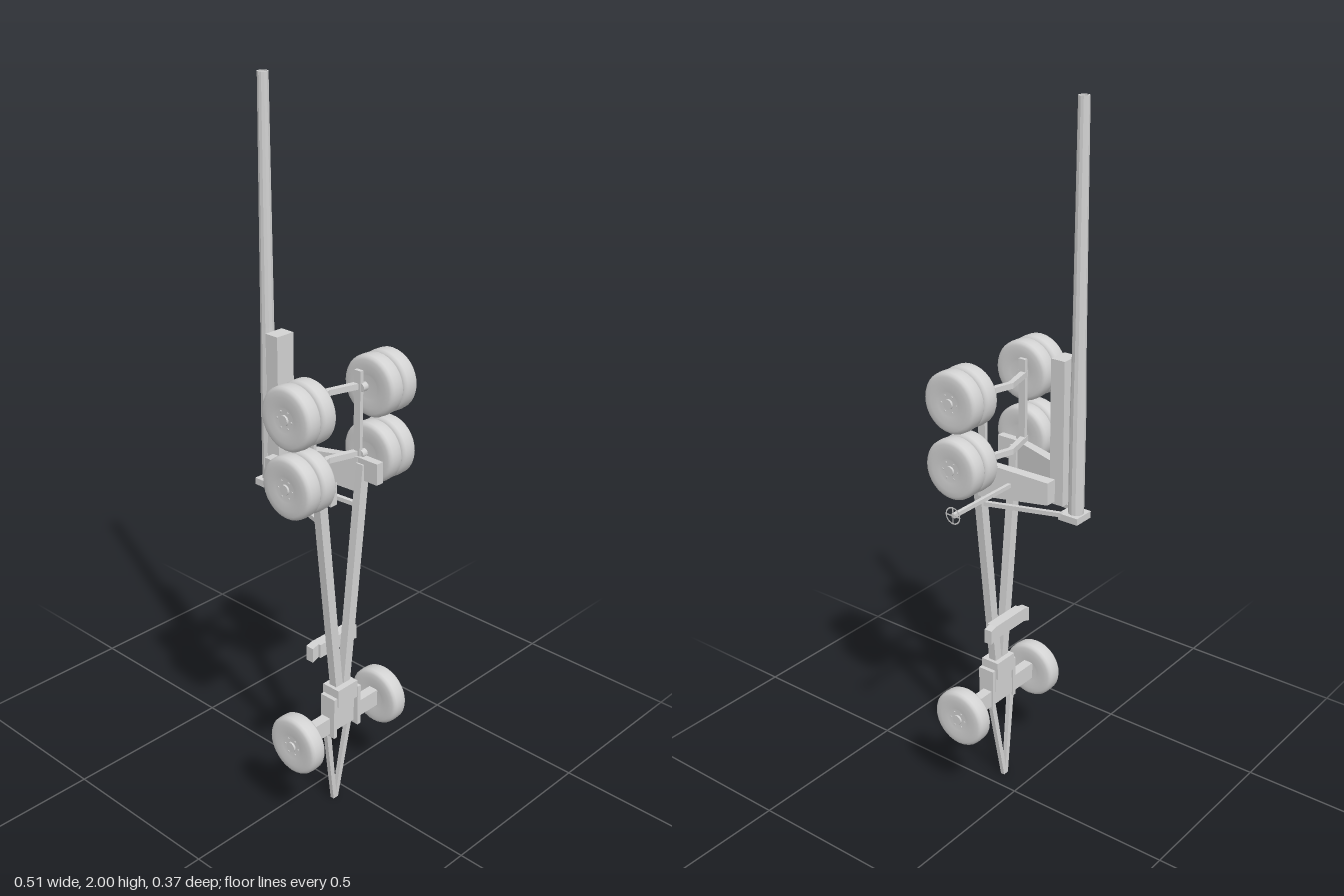
import * as THREE from 'three';

const steel = new THREE.MeshStandardMaterial({ color: 0xd2d2d2, side: THREE.DoubleSide });
steel.name = 'light grey steel';

// Box whose two ends along one axis have their own [min, max] ranges for x, y, z
function beam(axis, a, b) {
  const g = new THREE.BoxGeometry(2, 2, 2);
  const p = g.attributes.position;
  for (let i = 0; i < p.count; i++) {
    const s = [p.getX(i), p.getY(i), p.getZ(i)];
    const end = s[axis] < 0 ? a : b;
    p.setXYZ(i, ...s.map((v, k) => end[k][v < 0 ? 0 : 1]));
  }
  const flat = g.toNonIndexed();
  flat.computeVertexNormals();
  return flat;
}
const block = (x, y, z) => beam(0, [x, y, z], [x, y, z]);
const flip = r => [-r[1], -r[0]];
const flipX = e => [flip(e[0]), e[1], e[2]];

export function createModel() {
  const root = new THREE.Group();
  root.name = 'towedFieldGun';
  const gun = new THREE.Group();
  gun.name = 'gun';
  gun.position.x = -0.0535; // the carriage is symmetric about this plane
  root.add(gun);

  const add = (name, geo) => {
    const m = new THREE.Mesh(geo, steel);
    m.name = name;
    gun.add(m);
    return m;
  };
  // Tapered beam on both sides of the carriage
  const pair = (name, axis, a, b) => {
    add(name + 'Left', beam(axis, a, b));
    if (axis === 0) add(name + 'Right', beam(0, flipX(b), flipX(a)));
    else add(name + 'Right', beam(axis, flipX(a), flipX(b)));
  };

  // Barrel with an open bore
  const bore = [[0.0, 0.93], [0.021, 0.93], [0.021, 1.2], [0.0185, 1.36], [0.0145, 2], [0.011, 2], [0.011, 1.5], [0, 1.5]];
  const barrelGeo = new THREE.LatheGeometry(bore.map(q => new THREE.Vector2(...q)), 12).toNonIndexed();
  barrelGeo.computeVertexNormals();
  add('barrel', barrelGeo).position.z = -0.162;
  add('breech', block([-0.031, 0.031], [0.913, 0.932], [-0.187, -0.127]));
  add('cradle', block([-0.029, 0.029], [0.953, 1.352], [-0.139, -0.097]));

  // Cheeks from the cradle to the trail heads
  pair('cheek', 2,
    [[0.031, 0.063], [0.962, 1.025], [-0.115, -0.115]],
    [[0.073, 0.097], [0.945, 1.045], [0.088, 0.088]]);
  pair('trailHead', 2,
    [[0.074, 0.097], [0.985, 1.045], [0.088, 0.088]],
    [[0.074, 0.097], [0.985, 1.045], [0.156, 0.156]]);

  // Trails and the thin struts that brace the breech
  pair('trail', 1,
    [[0, 0.026], [0.38, 0.38], [0.087, 0.111]],
    [[0.069, 0.097], [1.03, 1.03], [0.087, 0.111]]);
  pair('strut', 2,
    [[0.020, 0.032], [0.922, 0.934], [-0.135, -0.135]],
    [[0.064, 0.076], [0.906, 0.918], [0.09, 0.09]]);

  // Bogie uprights and the two bent axles
  pair('bogieUpright', 1,
    [[0.080, 0.091], [1.02, 1.02], [0.068, 0.09]],
    [[0.080, 0.091], [1.28, 1.28], [0.068, 0.09]]);
  for (const y of [1.05, 1.237]) {
    const h = [y - 0.008, y + 0.008];
    pair('bentAxle', 0,
      [[0, 0], h, [0.045, 0.06]],
      [[0.097, 0.097], h, [0.07, 0.088]]);
  }

  // Square-shouldered tyre with a slightly dished side, swept round the axle
  const w = 0.0258, r = 0.084;
  const side = [[0.001, w - 0.003], [0.03, w - 0.003], [0.034, w - 0.001], [0.058, w], [0.072, w - 0.001], [0.079, w - 0.004], [r - 0.001, w - 0.010]];
  const profile = [...side.map(([q, t]) => [q, -t]), [r, 0], ...side.toReversed()];
  const tyreGeo = new THREE.LatheGeometry(profile.map(q => new THREE.Vector2(...q)), 32);
  tyreGeo.rotateZ(-Math.PI / 2);
  const hubGeo = new THREE.CylinderGeometry(0.014, 0.014, 0.008, 16).rotateZ(Math.PI / 2);
  const boltGeo = new THREE.CylinderGeometry(0.003, 0.003, 0.004, 6).rotateZ(Math.PI / 2);
  const wheel = (name, x, y, outer) => {
    add(name, tyreGeo).position.set(x, y, 0.098);
    if (!outer) return;
    const s = Math.sign(x);
    add(name + 'Hub', hubGeo).position.set(x + s * 0.0245, y, 0.098);
    for (let i = 0; i < 6; i++) {
      const a = i * Math.PI / 3;
      add(name + 'Bolt', boltGeo).position.set(x + s * 0.023, y + 0.024 * Math.sin(a), 0.098 + 0.024 * Math.cos(a));
    }
  };
  const stubGeo = new THREE.CylinderGeometry(0.012, 0.012, 0.03, 12).rotateZ(Math.PI / 2);
  for (const s of [-1, 1]) {
    for (const y of [1.05, 1.235]) {
      wheel('innerWheel', s * 0.1232, y, false);
      wheel('outerWheel', s * 0.1748, y, true);
      add('stubAxle', stubGeo).position.set(s * 0.098, y, 0.088);
    }
    wheel('limberWheel', s * 0.163, 0.28, true);
  }

  // Limber: axle beam, turntable block, lugs and V-shaped drawbar
  add('limberAxle', block([-0.14, 0.14], [0.259, 0.309], [0.083, 0.112]));
  add('turntable', block([-0.038, 0.038], [0.345, 0.398], [0.072, 0.129]));
  add('pivot', block([-0.036, 0.036], [0.3, 0.35], [0.08, 0.118]));
  pair('lug', 1,
    [[0.041, 0.053], [0.25, 0.25], [0.078, 0.128]],
    [[0.041, 0.053], [0.375, 0.375], [0.078, 0.128]]);
  pair('drawbar', 1,
    [[-0.004, 0.009], [0, 0], [0.073, 0.085]],
    [[0.036, 0.053], [0.27, 0.27], [0.084, 0.098]]);

  // Cross plate with drooping ends, on the back of the trails
  add('crossPlate', block([-0.064, 0.064], [0.498, 0.538], [0.056, 0.087]));
  pair('crossPlateEnd', 0,
    [[0.064, 0.064], [0.498, 0.538], [0.056, 0.08]],
    [[0.078, 0.086], [0.490, 0.533], [0.056, 0.08]]);

  // Side shaft with a thin spoked handwheel
  add('handwheelShaft', block([0.05, 0.31], [0.99, 1.001], [-0.01, 0]));
  const handwheel = new THREE.Group();
  handwheel.name = 'handwheel';
  handwheel.position.set(0.3095, 0.9955, -0.004);
  handwheel.rotation.y = Math.PI / 2;
  const rim = new THREE.Mesh(new THREE.RingGeometry(0.020, 0.024, 20), steel);
  rim.name = 'handwheelRim';
  handwheel.add(rim);
  for (let i = 0; i < 2; i++) {
    const spoke = new THREE.Mesh(new THREE.PlaneGeometry(0.042, 0.004), steel);
    spoke.name = 'handwheelSpoke';
    spoke.rotation.z = i * Math.PI / 2;
    handwheel.add(spoke);
  }
  gun.add(handwheel);

  return root;
}
